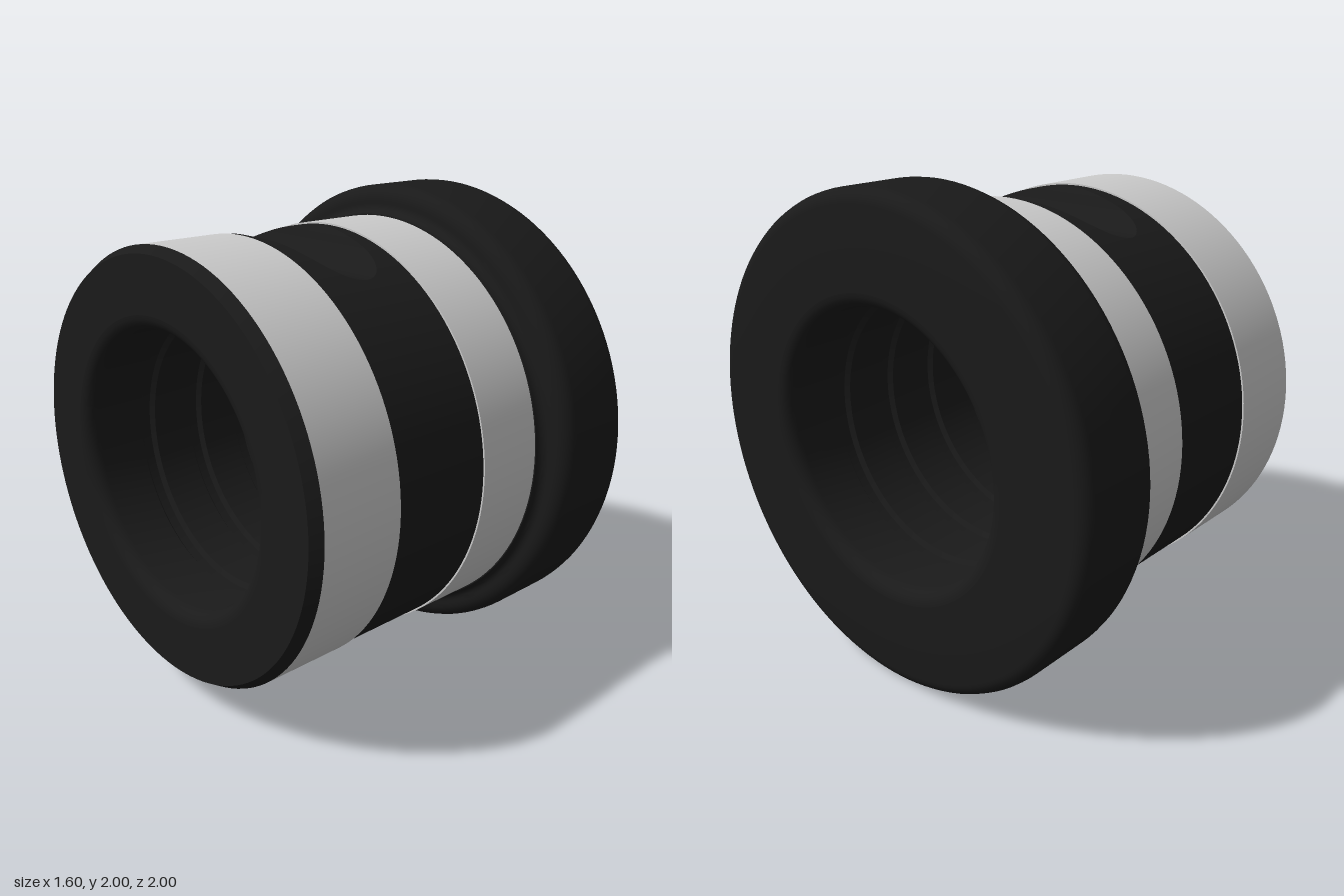
import * as THREE from 'three';
import { toCreasedNormals } from 'three/addons/utils/BufferGeometryUtils.js';
import { ParametricGeometry } from 'three/addons/geometries/ParametricGeometry.js';

const grey = new THREE.MeshStandardMaterial({ color: 0xcccccc });
const black = new THREE.MeshStandardMaterial({ color: 0x1a1a1a });

const END = 0.8, BORE = 0.56, SLEEVE = 0.877, BAND = 0.87;
const BAND_X0 = -0.395, BAND_X1 = 0.06, NOTCH_X = -0.16, NOTCH_HALF = 0.2;

// Points [x, radius] on an arc, angles in degrees
function arc(x, r, rad, from, to, steps = 6) {
  return Array.from({ length: steps + 1 }, (_, i) => {
    const a = THREE.MathUtils.degToRad(from + (to - from) * i / steps);
    return [x + rad * Math.cos(a), r + rad * Math.sin(a)];
  });
}

// Turn a profile of [x, radius] points around the x axis
function turned(name, profile, material) {
  const lathe = new THREE.LatheGeometry(profile.map(([x, r]) => new THREE.Vector2(r, x)), 128);
  lathe.rotateZ(-Math.PI / 2);
  const mesh = new THREE.Mesh(toCreasedNormals(lathe, 0.45), material);
  mesh.name = name;
  return mesh;
}

// Height of the notch floor above the axis: round channel with rounded lips
function notchHeight(x) {
  const d = Math.abs(x - NOTCH_X);
  if (d < 0.1545) return 0.912 - Math.sqrt(0.0289 - d * d);
  if (d < NOTCH_HALF) return Math.min(BAND, 0.82 + Math.sqrt(0.0025 - (NOTCH_HALF - d) ** 2));
  return BAND;
}
const notchAngle = (x) => Math.acos(Math.min(1, notchHeight(x) / BAND));

function parametric(name, func, slices, stacks) {
  const mesh = new THREE.Mesh(new ParametricGeometry(func, slices, stacks), black);
  mesh.name = name;
  return mesh;
}

export function createModel() {
  const model = new THREE.Group();
  model.name = 'flangedBushing';
  const body = new THREE.Group();
  body.name = 'body';
  body.position.y = 1;
  model.add(body);

  // Chamfered plain end
  body.add(turned('plainEnd', [[-END, 0.62], [-END, 0.848], [-0.755, SLEEVE]], black));

  // Two pale sleeves with a tiny step down to the dark band
  body.add(turned('wideSleeve', [[-0.755, SLEEVE], [BAND_X0, SLEEVE], [BAND_X0, BAND]], grey));
  body.add(turned('narrowSleeve', [[BAND_X1, BAND], [BAND_X1, SLEEVE], [0.367, SLEEVE]], grey));

  // Rounded flange
  body.add(turned('flange', [
    [0.367, SLEEVE],
    ...arc(0.367, 0.92, 0.038, -90, 0),
    ...arc(0.47, 0.935, 0.065, 180, 90),
    ...arc(0.74, 0.94, 0.06, 90, 0),
    [END, 0.62],
  ], black));

  // Bore with rounded mouths and shallow ring grooves
  const bore = [...arc(END - 0.06, 0.62, 0.06, 0, -90)];
  for (const x of [0.5, 0.25, 0, -0.25, -0.5]) {
    bore.push([x + 0.035, BORE], [x + 0.02, BORE + 0.02], [x - 0.02, BORE + 0.02], [x - 0.035, BORE]);
  }
  bore.push(...arc(-END + 0.06, 0.62, 0.06, -90, -180));
  body.add(turned('bore', bore, black));

  // Dark band, open where the notch cuts its top
  body.add(parametric('band', (u, v, target) => {
    const x = THREE.MathUtils.lerp(BAND_X0, BAND_X1, v);
    const cut = notchAngle(x);
    const a = cut + u * 2 * (Math.PI - cut);
    target.set(x, BAND * Math.cos(a), BAND * Math.sin(a));
  }, 128, 91));

  // Channel floor running straight across the top
  body.add(parametric('notch', (u, v, target) => {
    const x = NOTCH_X + (v * 2 - 1) * NOTCH_HALF;
    const halfWidth = BAND * Math.sin(notchAngle(x));
    target.set(x, notchHeight(x), (u * 2 - 1) * halfWidth);
  }, 12, 80));

  return model;
}
